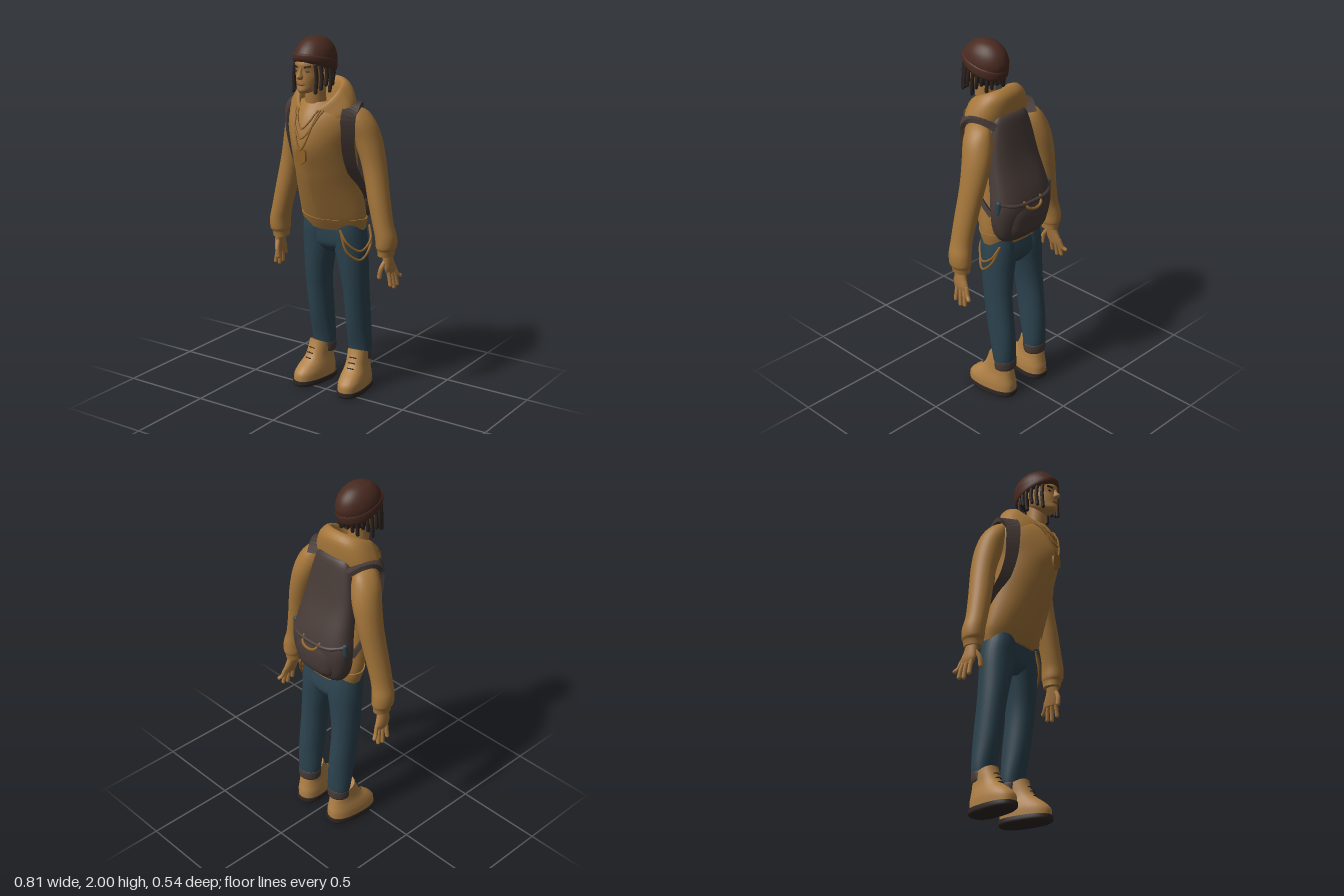
import * as THREE from 'three';
import { mergeGeometries, mergeVertices } from 'three/addons/utils/BufferGeometryUtils.js';

const material = (name, color) => Object.assign(new THREE.MeshStandardMaterial({ color }), { name });
const V = (p) => new THREE.Vector3(...p);

// Rings are [x, y, z, halfWidth, frontDepth, backDepth, shear], bottom to top.
function smoothRings(rings, steps = 4) {
  const out = [];
  const at = (i) => rings[Math.min(Math.max(i, 0), rings.length - 1)];
  for (let i = 0; i < rings.length - 1; i++) {
    for (let s = 0; s < steps; s++) {
      const t = s / steps;
      out.push(Array.from({ length: 7 }, (_, k) => {
        const [a, b, c, d] = [at(i - 1), at(i), at(i + 1), at(i + 2)].map((r) => r[k] ?? 0);
        return b + 0.5 * t * (c - a + t * (2 * a - 5 * b + 4 * c - d + t * (3 * (b - c) + d - a)));
      }));
    }
  }
  out.push(Array.from({ length: 7 }, (_, k) => rings.at(-1)[k] ?? 0));
  return out;
}

// Skin a stack of superellipse rings; nf and nb set how boxy front and back are
function loft(rings, { nf = 2, nb = 2, sides = 28, steps = 4, caps = true, span = null } = {}) {
  const rows = steps > 0 ? smoothRings(rings, steps) : rings;
  const pos = [], index = [];
  const cols = span ? sides + 1 : sides;
  const point = (r, a) => {
    const c = Math.cos(a), s = Math.sin(a), e = 2 / (s > 0 ? nf : nb);
    const dz = Math.sign(s) * Math.abs(s) ** e * (s > 0 ? r[4] : r[5]);
    return [r[0] + Math.sign(c) * Math.abs(c) ** e * r[3], r[1] + (r[6] ?? 0) * dz, r[2] + dz];
  };
  rows.forEach((r, i) => {
    for (let j = 0; j < cols; j++) {
      const half = span ? span(i / (rows.length - 1)) : Math.PI;
      pos.push(...point(r, Math.PI / 2 - half + (2 * half * j) / sides));
    }
  });
  for (let i = 0; i < rows.length - 1; i++) {
    for (let j = 0; j < sides; j++) {
      const a = i * cols + j, b = i * cols + ((j + 1) % cols), c = a + cols, d = b + cols;
      index.push(a, c, b, b, c, d);
    }
  }
  if (caps && !span) {
    [0, rows.length - 1].forEach((row, top) => {
      const base = pos.length / 3, r = rows[row];
      pos.push(r[0], r[1], r[2]);
      for (let j = 0; j < sides; j++) pos.push(...pos.slice((row * cols + j) * 3, (row * cols + j) * 3 + 3));
      for (let j = 0; j < sides; j++) {
        const a = base + 1 + j, b = base + 1 + ((j + 1) % sides);
        index.push(base, ...(top ? [b, a] : [a, b]));
      }
    });
  }
  const g = new THREE.BufferGeometry();
  g.setAttribute('position', new THREE.Float32BufferAttribute(pos, 3));
  g.setIndex(index);
  g.computeVertexNormals();
  return g;
}

// Round rod with rounded ends along a curve
function rod(points, r, segments = 12) {
  const ball = (p) => new THREE.SphereGeometry(r, 8, 6).translate(...p);
  const tube = new THREE.TubeGeometry(new THREE.CatmullRomCurve3(points.map(V)), segments, r, 8);
  return mergeGeometries([tube, ball(points[0]), ball(points.at(-1))]);
}

// Flat strap swept along a curve, narrowing to half its width at the end
function strap(points, across, halfWidth, halfThick, n = 32) {
  const curve = new THREE.CatmullRomCurve3(points.map(V)), quads = [], pos = [];
  for (let i = 0; i <= n; i++) {
    const p = curve.getPoint(i / n), t = curve.getTangent(i / n), width = halfWidth * (1 - 0.5 * (i / n) ** 2);
    const w = V(across).addScaledVector(t, -V(across).dot(t)).normalize();
    const h = t.clone().cross(w);
    quads.push([[1, 1], [-1, 1], [-1, -1], [1, -1]].map(([u, v]) =>
      p.clone().addScaledVector(w, u * width).addScaledVector(h, v * halfThick)));
  }
  for (let i = 0; i < n; i++) {
    for (let k = 0; k < 4; k++) {
      const a = quads[i][k], b = quads[i][(k + 1) % 4], c = quads[i + 1][k], d = quads[i + 1][(k + 1) % 4];
      [a, b, c, b, d, c].forEach((q) => pos.push(q.x, q.y, q.z));
    }
  }
  const g = new THREE.BufferGeometry();
  g.setAttribute('position', new THREE.Float32BufferAttribute(pos, 3));
  g.computeVertexNormals();
  return mergeVertices(g);
}

function mirrored(geometry) {
  const g = geometry.clone().scale(-1, 1, 1), ix = g.index.array;
  for (let i = 0; i < ix.length; i += 3) [ix[i], ix[i + 1]] = [ix[i + 1], ix[i]];
  return g;
}

const blob = (x, y, z, rx, ry, rz) => new THREE.SphereGeometry(1, 14, 10).scale(rx, ry, rz).translate(x, y, z);

export function createModel() {
  const model = new THREE.Group();
  model.name = 'hikerFigure';
  const hoodie = material('hoodieTan', 0xa5763a), skin = material('skin', 0xa6773f);
  const leather = material('bootLeather', 0xaf8046), brass = material('brass', 0x8f6229);
  const wool = material('beanieWool', 0x492a20), hair = material('hairDark', 0x2a211e);
  const canvas = material('packCanvas', 0x463a36), denim = material('denim', 0x2c434f);
  const rubber = material('soleRubber', 0x2e2623), lip = material('lip', 0x85522e);
  const add = (name, geometry, mat) => {
    const mesh = new THREE.Mesh(geometry, mat);
    mesh.name = name;
    model.add(mesh);
  };
  const pair = (name, geometry, mat) => {
    add(name + 'Left', geometry, mat);
    add(name + 'Right', mirrored(geometry), mat);
  };

  // Head, neck and face
  add('neck', loft([[0, 1.58, 0.07, 0.06, 0.07, 0.06], [0, 1.68, 0.095, 0.053, 0.06, 0.055], [0, 1.79, 0.1, 0.053, 0.06, 0.06]]), skin);
  add('head', loft([
    [0, 1.715, 0.185, 0.024, 0.042, 0.035], [0, 1.73, 0.165, 0.044, 0.072, 0.06], [0, 1.755, 0.14, 0.06, 0.094, 0.08],
    [0, 1.79, 0.13, 0.071, 0.103, 0.1], [0, 1.83, 0.125, 0.076, 0.105, 0.11], [0, 1.87, 0.12, 0.08, 0.113, 0.115],
    [0, 1.92, 0.11, 0.07, 0.09, 0.1]]), skin);
  add('nose', loft([[0, 1.785, 0.225, 0.01, 0.018, 0.02], [0, 1.8, 0.225, 0.017, 0.038, 0.02],
    [0, 1.825, 0.222, 0.009, 0.023, 0.02], [0, 1.855, 0.222, 0.008, 0.009, 0.01]], { sides: 12 }), skin);
  add('mouth', blob(0, 1.762, 0.228, 0.023, 0.008, 0.012), lip);
  pair('ear', blob(0.078, 1.815, 0.115, 0.01, 0.03, 0.018), skin);
  pair('eye', blob(0.033, 1.828, 0.218, 0.014, 0.005, 0.006), hair);
  pair('eyebrow', new THREE.BoxGeometry(0.036, 0.009, 0.008).rotateY(0.4).rotateZ(0.2).translate(0.036, 1.852, 0.221), hair);

  // Knitted hat with folded brim, drooping at the back
  add('beanie', loft([
    [0, 1.845, 0.1, 0.096, 0.128, 0.122, 0.32], [0, 1.875, 0.1, 0.1, 0.132, 0.135, 0.25], [0, 1.905, 0.095, 0.098, 0.128, 0.138, 0.16],
    [0, 1.945, 0.092, 0.084, 0.11, 0.118, 0.08], [0, 1.98, 0.095, 0.055, 0.072, 0.078, 0.03], [0, 1.997, 0.097, 0.02, 0.025, 0.025]]), wool);
  add('beanieBrim', loft([
    [0, 1.832, 0.1, 0.095, 0.128, 0.112, 0.33], [0, 1.847, 0.1, 0.104, 0.138, 0.128, 0.33],
    [0, 1.878, 0.1, 0.104, 0.138, 0.139, 0.26], [0, 1.888, 0.1, 0.098, 0.13, 0.133, 0.24]]), wool);

  // Hair: back of the head and hanging locks, shorter toward the back
  add('hairBack', loft([[0, 1.765, 0.08, 0.055, 0.02, 0.055], [0, 1.8, 0.085, 0.08, 0.03, 0.08], [0, 1.86, 0.09, 0.09, 0.04, 0.1]]), hair);
  for (let i = 0; i < 9; i++) {
    const a = 0.75 - i * 0.27, x = 0.092 * Math.cos(a), z = 0.105 + (a > 0 ? 0.125 : 0.105) * Math.sin(a);
    const end = 1.72 + (i % 3) * 0.018 + (i > 3 ? 0.022 : 0);
    pair('hairLock' + i, rod([[x * 0.95, 1.86, z], [x * 1.05, 1.8, z], [x * 1.02, end, z + 0.006]], 0.01, 6), hair);
  }

  // Hoodie body, hem, pocket and hood
  const torso = [
    [0, 0.945, -0.08, 0.182, 0.1, 0.1], [0, 1.03, -0.07, 0.197, 0.14, 0.11], [0, 1.2, -0.03, 0.185, 0.18, 0.12],
    [0, 1.3, 0, 0.18, 0.19, 0.13], [0, 1.42, 0.01, 0.185, 0.22, 0.13], [0, 1.52, 0.02, 0.203, 0.2, 0.13],
    [0, 1.6, 0.02, 0.195, 0.17, 0.12], [0, 1.66, 0.025, 0.13, 0.12, 0.09]];
  const body = smoothRings(torso, 6);
  const grown = (low, high, d) => body.filter((r) => r[1] >= low && r[1] <= high)
    .map(([x, y, z, w, f, b]) => [x, y, z, w + d, f + d, b + d, 0]);
  add('hoodieBody', loft(body, { nf: 1.6, nb: 2.2, sides: 40, steps: 0 }), hoodie);
  add('hoodieHem', loft(grown(0.94, 1.01, 0.007), { nf: 1.6, nb: 2.2, sides: 40, steps: 0 }), hoodie);
  add('frontPocket', loft(grown(1.02, 1.27, 0.008), { nf: 1.6, steps: 0, sides: 24, span: (t) => 0.95 - 0.3 * t }), hoodie);
  const hood = loft([
    [0, 1.57, 0.04, 0.195, 0.13, 0.13, -0.1], [0, 1.63, 0.04, 0.19, 0.145, 0.14, -0.2], [0, 1.685, 0.045, 0.163, 0.14, 0.142, -0.4],
    [0, 1.725, 0.055, 0.128, 0.125, 0.113, -0.45], [0, 1.705, 0.06, 0.105, 0.105, 0.09, -0.45], [0, 1.62, 0.06, 0.085, 0.095, 0.07, -0.2]],
  { nf: 1.7, nb: 2.4, sides: 36, caps: false });
  // the hood opening dips to a V at the throat
  const hoodPos = hood.attributes.position;
  for (let i = 0; i < hoodPos.count; i++) {
    hoodPos.setY(i, hoodPos.getY(i) - 0.5 * Math.max(0, hoodPos.getZ(i) - 0.06));
  }
  hood.computeVertexNormals();
  add('hood', hood, hoodie);

  // Sleeves with gathered cuffs
  pair('sleeve', loft([
    [0.345, 0.835, -0.06, 0.042, 0.052, 0.052], [0.347, 0.865, -0.06, 0.046, 0.056, 0.056], [0.349, 0.885, -0.058, 0.054, 0.064, 0.064],
    [0.347, 0.94, -0.055, 0.056, 0.065, 0.065], [0.33, 1.01, -0.05, 0.055, 0.06, 0.062], [0.302, 1.13, -0.055, 0.059, 0.064, 0.066],
    [0.276, 1.25, -0.064, 0.062, 0.068, 0.07], [0.255, 1.34, -0.068, 0.066, 0.073, 0.075], [0.226, 1.45, -0.062, 0.073, 0.08, 0.082],
    [0.2, 1.54, -0.045, 0.072, 0.08, 0.08], [0.182, 1.6, -0.03, 0.048, 0.06, 0.065], [0.165, 1.63, -0.02, 0.018, 0.02, 0.02]]), hoodie);

  // Hands with spread fingers
  pair('palm', loft([[0.364, 0.735, -0.083, 0.014, 0.042, 0.044], [0.363, 0.765, -0.077, 0.02, 0.05, 0.048],
    [0.357, 0.81, -0.065, 0.023, 0.04, 0.04], [0.35, 0.86, -0.06, 0.025, 0.033, 0.033]], { sides: 18 }), skin);
  [[-0.048, -0.052, 0.665], [-0.073, -0.088, 0.647], [-0.097, -0.12, 0.655], [-0.117, -0.15, 0.695]].forEach(([z0, z1, y1], i) =>
    pair('finger' + i, rod([[0.364, 0.76, z0], [0.374, 0.715, (z0 + z1) / 2 - 0.002], [0.381, y1 + 0.01, z1]], 0.0115, 8), skin));
  pair('thumb', rod([[0.354, 0.81, -0.04], [0.342, 0.765, -0.015], [0.335, 0.722, -0.013]], 0.013, 8), skin);

  // Jeans: seat, legs and turned-up cuffs
  add('jeansSeat', loft([[0, 0.8, -0.1, 0.06, 0.05, 0.06], [0, 0.835, -0.098, 0.14, 0.085, 0.085],
    [0, 0.88, -0.093, 0.186, 0.096, 0.097], [0, 1, -0.08, 0.18, 0.09, 0.09]], { nf: 2.5, nb: 2.5 }), denim);
  pair('jeansLeg', loft([
    [0.12, 0.19, -0.16, 0.06, 0.056, 0.058], [0.121, 0.25, -0.16, 0.068, 0.062, 0.064], [0.122, 0.4, -0.14, 0.067, 0.08, 0.08],
    [0.122, 0.6, -0.112, 0.07, 0.084, 0.086], [0.11, 0.75, -0.1, 0.084, 0.092, 0.092], [0.099, 0.85, -0.095, 0.096, 0.097, 0.097],
    [0.095, 0.93, -0.085, 0.094, 0.096, 0.1], [0.09, 1, -0.08, 0.088, 0.09, 0.09]]), denim);
  pair('jeansCuff', loft([[0.12, 0.168, -0.163, 0.062, 0.05, 0.058], [0.12, 0.18, -0.162, 0.067, 0.055, 0.063],
    [0.12, 0.218, -0.161, 0.068, 0.057, 0.064], [0.12, 0.225, -0.161, 0.063, 0.054, 0.06]]), canvas);

  // Boots, turned slightly outward
  const place = (g) => g.rotateY(0.14).translate(0.129, 0, -0.13);
  pair('boot', place(loft([
    [0, 0.03, 0.03, 0.071, 0.165, 0.132], [0, 0.07, 0.03, 0.072, 0.162, 0.132], [0, 0.105, 0.02, 0.067, 0.14, 0.115],
    [0, 0.135, 0.01, 0.061, 0.108, 0.1], [0, 0.165, 0, 0.058, 0.09, 0.085], [0, 0.195, -0.008, 0.058, 0.077, 0.07, 0.2],
    [0, 0.218, -0.012, 0.058, 0.07, 0.06, 0.4]], { nf: 2.4, nb: 2.4 })), leather);
  pair('bootSole', place(loft([[0, 0, 0.03, 0.07, 0.16, 0.133], [0, 0.01, 0.03, 0.077, 0.17, 0.138],
    [0, 0.032, 0.03, 0.076, 0.17, 0.138]], { nf: 2.5, nb: 2.6 })), rubber);
  for (let i = 0; i < 3; i++) {
    const y = 0.145 + i * 0.027, z = 0.108 - i * 0.016;
    pair('bootLace' + i, place(rod([[-0.018, y, z - 0.006], [0, y + 0.004, z], [0.018, y, z - 0.006]], 0.0035, 6)), rubber);
  }

  // Backpack with lower pocket, flap edge, handle and shoulder straps
  add('backpack', loft([
    [0, 0.955, -0.15, 0.1, 0.04, 0.03], [0, 0.985, -0.15, 0.155, 0.06, 0.068], [0, 1.06, -0.15, 0.188, 0.06, 0.09],
    [0, 1.16, -0.15, 0.2, 0.06, 0.1], [0, 1.25, -0.135, 0.188, 0.06, 0.094], [0, 1.4, -0.1, 0.165, 0.06, 0.07],
    [0, 1.54, -0.08, 0.14, 0.05, 0.057], [0, 1.63, -0.07, 0.112, 0.05, 0.045], [0, 1.655, -0.065, 0.07, 0.03, 0.02]],
  { nf: 2.6, nb: 2.7, sides: 36 }), canvas);
  add('packPocket', loft([[0, 0.985, -0.19, 0.09, 0.03, 0.03], [0, 1.03, -0.19, 0.135, 0.03, 0.062],
    [0, 1.12, -0.19, 0.145, 0.03, 0.07], [0, 1.175, -0.19, 0.135, 0.03, 0.058]], { nb: 2.8 }), canvas);
  add('packFlapEdge', rod([[-0.185, 1.21, -0.185], [-0.12, 1.195, -0.235], [0, 1.19, -0.248], [0.12, 1.195, -0.235], [0.185, 1.21, -0.185]], 0.011, 24), canvas);
  pair('sidePouch', new THREE.CapsuleGeometry(0.015, 0.05, 4, 10).translate(0.187, 1.19, -0.18), denim);
  add('packHandle', rod([[-0.06, 1.2, -0.24], [-0.045, 1.17, -0.262], [0, 1.155, -0.266], [0.045, 1.17, -0.262], [0.06, 1.2, -0.24]], 0.008, 20), brass);
  pair('shoulderStrap', strap([
    [0.12, 1.6, -0.1], [0.163, 1.638, -0.03], [0.183, 1.635, 0.03], [0.188, 1.59, 0.075], [0.188, 1.5, 0.08],
    [0.181, 1.4, 0.062], [0.181, 1.3, 0.022], [0.186, 1.2, -0.05], [0.175, 1.12, -0.12]], [0.7, 0, -0.72], 0.042, 0.012), canvas);

  // Necklaces, pendant and hip chain, resting on the cloth
  const onChest = (x, y) => {
    const r = body.reduce((a, b) => (Math.abs(b[1] - y) < Math.abs(a[1] - y) ? b : a));
    return [x, y, r[2] + r[4] * (1 - (Math.abs(x) / r[3]) ** 1.6) ** 0.625 + 0.008];
  };
  [[0.07, 1.42], [0.085, 1.48], [0.06, 1.53]].forEach(([w, low], i) => {
    const points = Array.from({ length: 13 }, (_, k) => {
      const u = k / 6 - 1;
      return onChest(w * Math.sign(u) * Math.abs(u) ** 0.8, low + (1.62 - low) * Math.abs(u) ** 1.3);
    });
    add('necklace' + i, rod(points, 0.005, 36), brass);
  });
  add('pendant', new THREE.CylinderGeometry(0.04, 0.04, 0.012, 6).rotateX(Math.PI / 2).scale(0.9, 1.2, 1).translate(0, 1.388, 0.232), brass);
  [0, 0.05].forEach((rise, i) => add('hipChain' + i, rod([[0.1, 0.945, 0.012], [0.14, 0.83 + rise, 0.006], [0.187, 0.78 + rise, -0.055],
    [0.198, 0.85 + rise * 0.6, -0.14], [0.17, 0.945, -0.17]], 0.007, 28), brass));
  return model;
}
